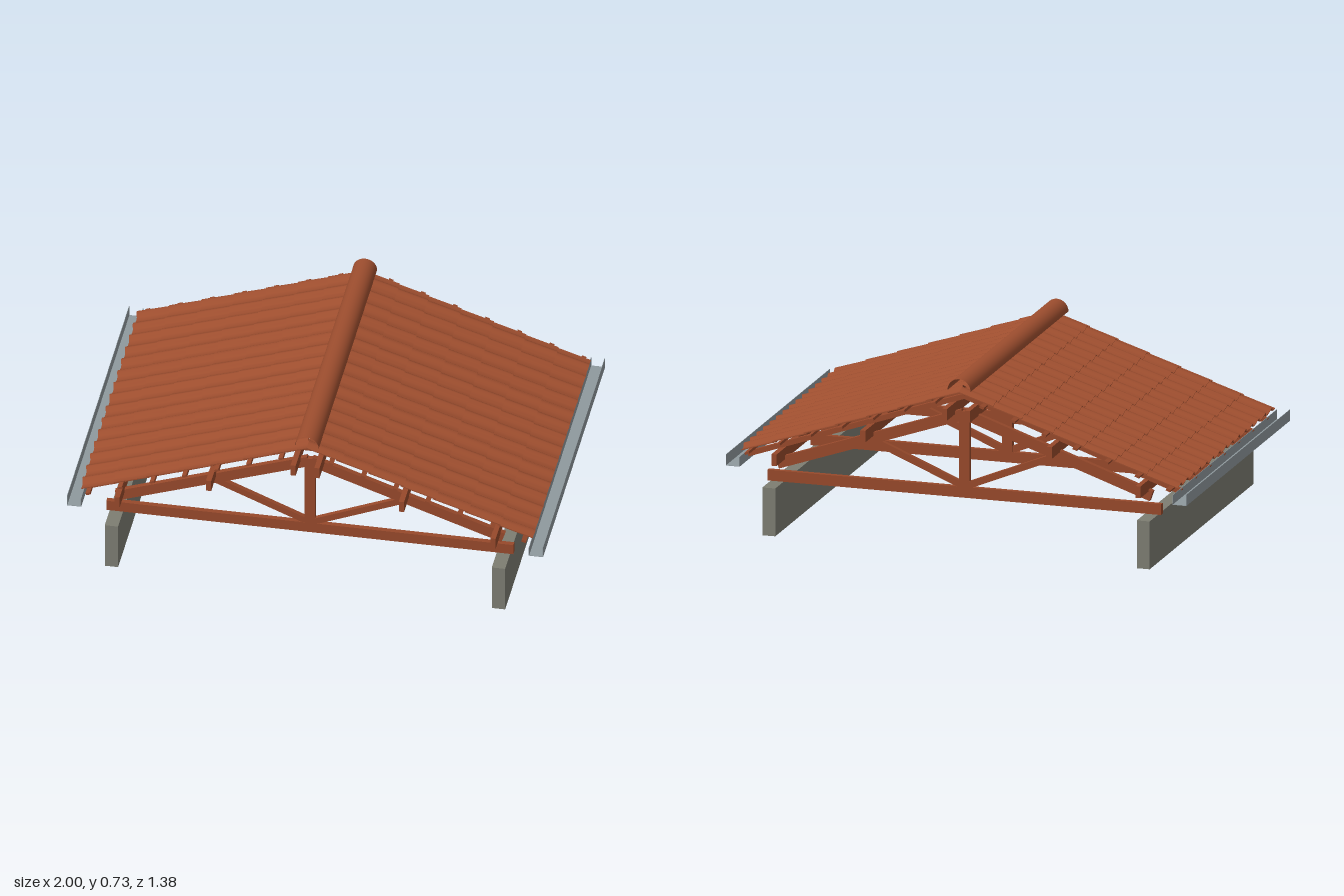
import * as THREE from 'three';
import { toCreasedNormals } from 'three/addons/utils/BufferGeometryUtils.js';

const material = (name, color, side = THREE.FrontSide) =>
  Object.assign(new THREE.MeshStandardMaterial({ color, side }), { name });

const SLOPE = 0.35;
const ANGLE = Math.atan(SLOPE);

export function createModel() {
  const wood = material('timber', 0x97492b);
  const clay = material('clay tile', 0x9c4d2e, THREE.DoubleSide);
  const concrete = material('concrete', 0x7d7d72);
  const metal = material('gutter metal', 0x8f999e, THREE.DoubleSide);

  const add = (parent, name, geometry, mat, x = 0, y = 0, z = 0) => {
    const mesh = new THREE.Mesh(geometry, mat);
    mesh.name = name;
    mesh.position.set(x, y, z);
    parent.add(mesh);
    return mesh;
  };
  const box = (parent, name, mat, w, h, d, x, y, z) =>
    add(parent, name, new THREE.BoxGeometry(w, h, d), mat, x, y, z);
  // Straight timber between two points of the truss plane
  const beam = (parent, name, [x0, y0], [x1, y1], thick, depth, z) => {
    const mesh = box(parent, name, wood, Math.hypot(x1 - x0, y1 - y0), thick, depth,
      (x0 + x1) / 2, (y0 + y1) / 2, z);
    mesh.rotation.z = Math.atan2(y1 - y0, x1 - x0);
    return mesh;
  };

  // One course of tiles: a corrugated strip, running along +x
  function tileCourse(length) {
    const columns = 15, steps = 10, width = 1.29, thick = 0.004;
    const top = [];
    for (let i = 0; i <= columns * steps; i++) {
      const t = (i % steps) / steps;
      const h = t < 0.6
        ? -0.007 + 0.016 * Math.sin(Math.PI * Math.pow(t / 0.6, 1.3))
        : -0.007 - 0.002 * Math.sin(Math.PI * (t - 0.6) / 0.4);
      top.push(new THREE.Vector2(-width / 2 + width * i / (columns * steps), h));
    }
    const bottom = top.map(p => new THREE.Vector2(p.x, p.y - thick)).reverse();
    const geometry = new THREE.ExtrudeGeometry(new THREE.Shape([...top, ...bottom]),
      { depth: length, bevelEnabled: false });
    geometry.rotateY(Math.PI / 2);
    return toCreasedNormals(geometry, 0.7);
  }
  const courses = 7, pitch = 0.1437;
  const courseGeometry = tileCourse(pitch + 0.012);

  // Half of the roof, falling towards +x
  function roofSide() {
    const side = new THREE.Group();

    // Purlins, common rafters and tile laths
    for (const x of [0.05, 0.405, 0.79])
      box(side, 'purlin', wood, 0.022, 0.05, 1.38, x, 0.603 - SLOPE * x, 0);
    for (let i = -3; i <= 3; i++)
      beam(side, 'rafter', [0, 0.64], [0.94, 0.64 - SLOPE * 0.94], 0.022, 0.022, i * 0.19);
    for (let i = 0; i < 7; i++) {
      const x = 0.105 + 0.135 * i;
      box(side, 'lath', wood, 0.02, 0.01, 1.34, x, 0.66 - SLOPE * x, 0).rotation.z = -ANGLE;
    }

    // Overlapping tile courses, each lifted slightly at its lower end
    for (let k = 0; k < courses; k++) {
      const s = Math.max(0, k * pitch - 0.012);
      const course = add(side, 'tileCourse', courseGeometry, clay,
        s * Math.cos(ANGLE), 0.681 - s * Math.sin(ANGLE), 0);
      course.rotation.z = -ANGLE + 0.03;
    }

    // Open gutter
    const gutter = new THREE.Group();
    gutter.name = 'gutter';
    box(gutter, 'gutterFloor', metal, 0.058, 0.002, 1.38, 0.97, 0.286, 0);
    box(gutter, 'gutterOuterSide', metal, 0.002, 0.048, 1.38, 0.999, 0.309, 0);
    box(gutter, 'gutterInnerSide', metal, 0.002, 0.042, 1.38, 0.941, 0.306, 0);
    side.add(gutter);

    // Supporting wall
    box(side, 'wall', concrete, 0.056, 0.205, 1.38, 0.813, 0.1025, 0);
    return side;
  }

  const model = new THREE.Group();
  model.name = 'roof';
  const left = roofSide(), right = roofSide();
  left.name = 'leftRoofSide';
  right.name = 'rightRoofSide';
  right.rotation.y = Math.PI;
  model.add(left, right);

  // Three king post trusses
  for (const z of [-0.57, 0, 0.57]) {
    const truss = new THREE.Group();
    truss.name = 'truss';
    box(truss, 'tieBeam', wood, 1.71, 0.046, 0.022, 0, 0.228, z);
    box(truss, 'kingPost', wood, 0.044, 0.325, 0.022, 0, 0.4125, z);
    for (const s of [-1, 1]) {
      beam(truss, 'topChord', [s * 0.005, 0.561], [s * 0.812, 0.282], 0.046, 0.022, z);
      beam(truss, 'strut', [s * 0.01, 0.256], [s * 0.4, 0.417], 0.028, 0.02, z);
    }
    model.add(truss);
  }

  // Half-round ridge cap
  const cap = new THREE.CylinderGeometry(0.05, 0.05, 1.3, 24, 1, true, Math.PI / 2, Math.PI);
  cap.rotateX(Math.PI / 2);
  add(model, 'ridgeCap', cap, clay, 0, 0.681, 0);

  return model;
}
